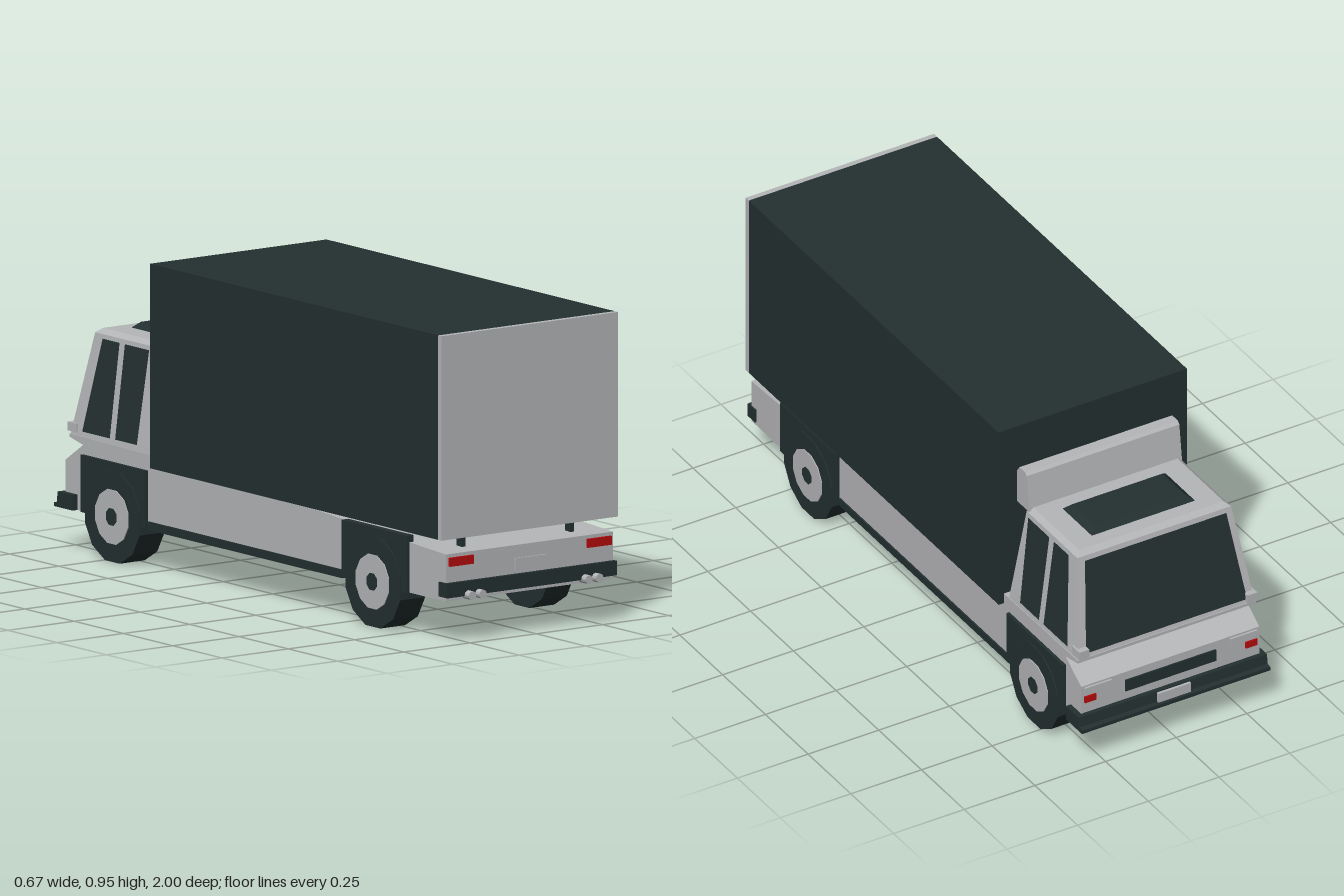
import * as THREE from 'three';

export function createModel() {
  const truck = new THREE.Group();
  truck.name = 'boxTruck';

  const mat = (name, color) => {
    const m = new THREE.MeshStandardMaterial({ color, flatShading: true, side: THREE.DoubleSide });
    m.name = name;
    return m;
  };
  const grey = mat('lightGrey', 0xb5b6b8);
  const dark = mat('darkSlate', 0x243030);
  const red = mat('lampRed', 0xb80c0c);

  const add = (name, geo, material, parent = truck) => {
    const mesh = new THREE.Mesh(geo, material);
    mesh.name = name;
    parent.add(mesh);
    return mesh;
  };
  // Box given by its ranges on x, y and z
  const box = (name, material, [x0, x1], [y0, y1], [z0, z1]) =>
    add(name, new THREE.BoxGeometry(Math.abs(x1 - x0), y1 - y0, z1 - z0)
      .translate((x0 + x1) / 2, (y0 + y1) / 2, (z0 + z1) / 2), material);
  // Side profile of [z, y] points extruded across x
  const profile = (name, material, pts, x0, x1) => {
    const shape = new THREE.Shape(pts.map(p => new THREE.Vector2(...p)));
    const geo = new THREE.ExtrudeGeometry(shape, { depth: x1 - x0, bevelEnabled: false });
    return add(name, geo.rotateY(-Math.PI / 2).translate(x1, 0, 0), material);
  };
  // Tapered block: [half width, zBack, zFront] at the bottom and the top
  const taper = (name, material, y0, y1, bottom, top) => {
    const geo = new THREE.BoxGeometry(2, 1, 1);
    const p = geo.attributes.position;
    for (let i = 0; i < p.count; i++) {
      const up = p.getY(i) > 0;
      const [w, zb, zf] = up ? top : bottom;
      p.setXYZ(i, p.getX(i) * w, up ? y1 : y0, p.getZ(i) > 0 ? zb : zf);
    }
    geo.computeVertexNormals();
    return add(name, geo, material);
  };
  // Flat four-cornered pane
  const pane = (name, material, corners) => {
    const geo = new THREE.BufferGeometry();
    geo.setAttribute('position', new THREE.Float32BufferAttribute(corners.flat(), 3));
    geo.setIndex([0, 1, 2, 0, 2, 3]);
    geo.computeVertexNormals();
    return add(name, geo, material);
  };
  const lerp = THREE.MathUtils.lerp;

  // Lower body, stepped at the nose
  profile('lowerBody', grey, [
    [0.965, 0.13], [0.965, 0.275], [0.78, 0.285], [0.2, 0.32], [-0.505, 0.32], [-0.51, 0.355],
    [-0.945, 0.36], [-0.945, 0.35], [-0.875, 0.335], [-0.965, 0.276], [-0.965, 0.13],
  ], -0.315, 0.315);

  // Cargo box and rear door
  box('cargoBox', dark, [-0.333, 0.333], [0.32, 0.95], [-0.512, 0.95]);
  box('rearDoor', grey, [-0.333, 0.333], [0.32, 0.95], [0.95, 0.968]);

  // Cab shell, leaning in towards the roof
  const yb = 0.355, yt = 0.678;
  taper('cab', grey, yb, yt, [0.313, -0.54, -0.943], [0.272, -0.575, -0.872]);
  taper('roof', grey, yt, 0.692, [0.272, -0.575, -0.872], [0.255, -0.585, -0.855]);
  taper('roofHatch', dark, 0.69, 0.71, [0.185, -0.635, -0.81], [0.16, -0.655, -0.79]);
  const at = (y, b, t) => lerp(b, t, (y - yb) / (yt - yb));

  // Windscreen and rear window
  const w0 = 0.375, w1 = 0.665;
  const zf = y => at(y, -0.943, -0.872) - 0.005;
  const zr = y => at(y, -0.54, -0.575) + 0.004;
  pane('windscreen', dark, [[0.285, w0, zf(w0)], [-0.285, w0, zf(w0)], [-0.25, w1, zf(w1)], [0.25, w1, zf(w1)]]);
  pane('rearWindow', dark, [[-0.28, w0, zr(w0)], [0.28, w0, zr(w0)], [0.245, w1, zr(w1)], [-0.245, w1, zr(w1)]]);

  // Hollow wind deflector behind the roof
  const cap = [[-0.588, 0.68], [-0.572, 0.803], [-0.563, 0.812], [-0.53, 0.812], [-0.514, 0.79]];
  const inner = [[-0.514, 0.782], [-0.532, 0.803], [-0.56, 0.803], [-0.578, 0.68]];
  profile('deflectorShell', grey, [...cap, ...inner], -0.27, 0.27);

  // Nose details
  box('grille', dark, [-0.16, 0.16], [0.208, 0.248], [-0.97, -0.963]);
  box('noseVent', dark, [-0.06, 0.06], [0.343, 0.35], [-0.935, -0.905]);
  profile('frontBumper', dark, [
    [-0.905, 0.13], [-0.905, 0.178], [-0.98, 0.178], [-0.985, 0.145], [-1, 0.142], [-1, 0.13],
  ], -0.333, 0.333);
  box('frontPlate', grey, [-0.058, 0.058], [0.142, 0.176], [-0.992, -0.983]);

  // Tail details
  box('rearBumper', dark, [-0.32, 0.32], [0.142, 0.187], [0.935, 0.978]);
  box('rearPlate', grey, [-0.057, 0.057], [0.2, 0.235], [0.964, 0.97]);

  for (const s of [-1, 1]) {
    const side = s > 0 ? 'left' : 'right';
    const xs = y => s * (at(y, 0.313, 0.272) + 0.003);
    const span = (a, b) => [s * a, s * b];

    // Door windows
    for (const [n, b0, b1, t1, t0] of [
      ['RearSideWindow', -0.605, -0.715, -0.715, -0.592],
      ['FrontSideWindow', -0.742, -0.882, -0.828, -0.742],
    ]) pane(side + n, dark, [[xs(w0), w0, b0], [xs(w0), w0, b1], [xs(w1), w1, t1], [xs(w1), w1, t0]]);

    // Deflector cheeks, sill and nose marker
    profile(side + 'DeflectorCheek', grey, [...cap, [-0.514, 0.68]], s * 0.265 - 0.005, s * 0.265 + 0.005);
    box(side + 'Sill', dark, span(0.3, 0.32), [0.124, 0.15], [-0.54, 0.445]);
    box(side + 'NoseMarker', grey, span(0.28, 0.315), [0.368, 0.395], [-0.955, -0.91]);

    // Lamps
    box(side + 'Headlamp', grey, span(0.21, 0.305), [0.243, 0.27], [-0.972, -0.963]);
    box(side + 'FrontIndicator', red, span(0.265, 0.305), [0.216, 0.238], [-0.971, -0.963]);
    box(side + 'TailLamp', red, span(0.215, 0.305), [0.237, 0.264], [0.963, 0.973]);

    // Box support post and twin exhausts
    box(side + 'BoxPost', dark, span(0.198, 0.212), [0.27, 0.32], [0.88, 0.907]);
    for (const x of [0.2, 0.24])
      add(side + 'Exhaust', new THREE.CylinderGeometry(0.014, 0.014, 0.065, 12)
        .rotateX(Math.PI / 2).translate(s * x, 0.145, 0.967), grey);

    // Wheels with their dark arches
    for (const [n, z, a0, a1] of [['Front', -0.71, -0.875, -0.545], ['Rear', 0.612, 0.45, 0.78]]) {
      box(side + n + 'Arch', dark, span(0.3, 0.325), [0.13, 0.306], [a0, a1]);
      const wheel = new THREE.Group();
      wheel.name = side + n + 'Wheel';
      wheel.position.set(s * 0.281, 0.14, z);
      truck.add(wheel);
      const disc = (name, r, w, m, sides) =>
        add(name, new THREE.CylinderGeometry(r, r, w, sides).rotateY(Math.PI / sides).rotateZ(Math.PI / 2), m, wheel);
      disc('tyre', 0.144, 0.094, dark, 12);
      disc('rim', 0.086, 0.1, grey, 12);
      disc('hubCap', 0.028, 0.104, dark, 8);
    }
  }
  return truck;
}
